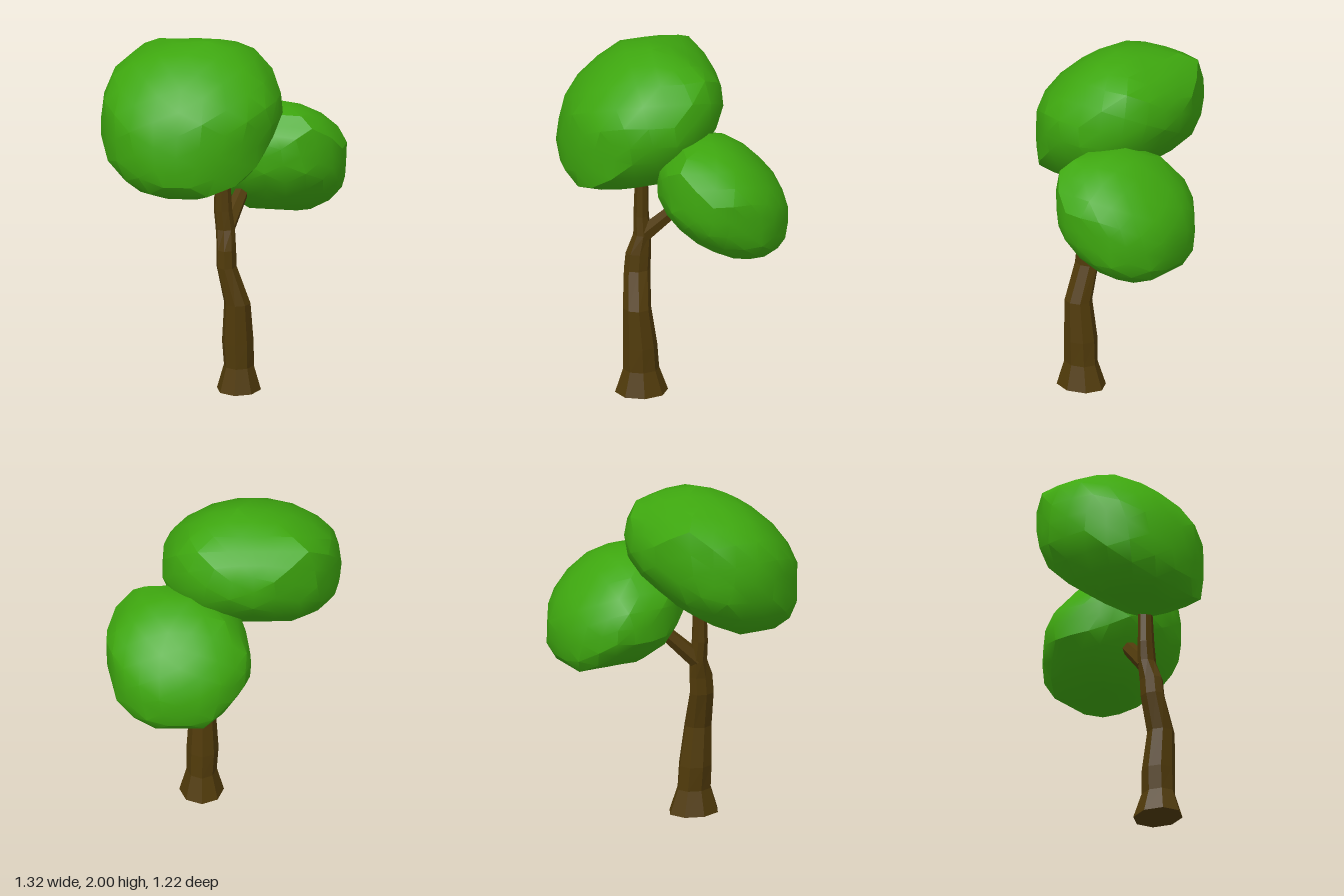
import * as THREE from 'three';
import { toCreasedNormals } from 'three/addons/utils/BufferGeometryUtils.js';

const leafMaterial = new THREE.MeshStandardMaterial({ color: 0x3ea70f });
const barkMaterial = new THREE.MeshStandardMaterial({ color: 0x503a0a, flatShading: true });

// Planes standing on the edges of a convex outline drawn in two of the three axes
function outlinePlanes(outline, axisA, axisB, centre) {
  return outline.map(([a0, b0], i) => {
    const [a1, b1] = outline[(i + 1) % outline.length];
    const normal = new THREE.Vector3()
      .setComponent(axisA, b1 - b0).setComponent(axisB, a0 - a1).normalize();
    const onEdge = centre.clone().setComponent(axisA, a0).setComponent(axisB, b0);
    const plane = new THREE.Plane().setFromNormalAndCoplanarPoint(normal, onEdge.sub(centre));
    return plane.constant > 0 ? plane.negate() : plane;
  });
}

// Leaning ellipsoid trimmed to its front, side and top outlines
function crown(name, min, max, swell, lean, { front, side, top }) {
  const box = new THREE.Box3(new THREE.Vector3(...min), new THREE.Vector3(...max));
  const centre = box.getCenter(new THREE.Vector3());
  const half = box.getSize(new THREE.Vector3()).multiplyScalar(0.5);
  const planes = [
    ...outlinePlanes(front, 0, 1, centre),
    ...outlinePlanes(side, 2, 1, centre),
    ...outlinePlanes(top, 0, 2, centre),
  ];
  const geo = new THREE.IcosahedronGeometry(swell, 3);
  const pos = geo.attributes.position;
  const v = new THREE.Vector3();
  for (let i = 0; i < pos.count; i++) {
    v.fromBufferAttribute(pos, i);
    v.z = lean * v.y + Math.sqrt(1 - lean * lean) * v.z;
    v.multiply(half);
    for (const { normal, constant } of planes) {
      const reach = normal.dot(v);
      if (reach > -constant) v.multiplyScalar(-constant / reach);
    }
    v.add(centre);
    pos.setXYZ(i, v.x, v.y, v.z);
  }
  const mesh = new THREE.Mesh(toCreasedNormals(geo, 0.5), leafMaterial);
  mesh.name = name;
  return mesh;
}

// Capped loft through elliptical rings given as [y, xMin, xMax, zMin, zMax]
function loft(name, rings, sides) {
  const points = [];
  const index = [];
  const addCentre = ([y, x0, x1, z0, z1]) =>
    points.push((x0 + x1) / 2, y, (z0 + z1) / 2);
  rings.forEach(([y, x0, x1, z0, z1], r) => {
    for (let s = 0; s < sides; s++) {
      const a = (s / sides) * Math.PI * 2;
      points.push(
        (x0 + x1) / 2 + Math.cos(a) * (x1 - x0) / 2, y,
        (z0 + z1) / 2 + Math.sin(a) * (z1 - z0) / 2);
      if (r === rings.length - 1) continue;
      const p = r * sides + s;
      const q = r * sides + (s + 1) % sides;
      index.push(p, p + sides, q, q, p + sides, q + sides);
    }
  });
  const bottom = rings.length * sides;
  const lastRing = bottom - sides;
  addCentre(rings[0]);
  addCentre(rings[rings.length - 1]);
  for (let s = 0; s < sides; s++) {
    const n = (s + 1) % sides;
    index.push(bottom, s, n, bottom + 1, lastRing + n, lastRing + s);
  }
  const geo = new THREE.BufferGeometry();
  geo.setAttribute('position', new THREE.Float32BufferAttribute(points, 3));
  geo.setIndex(index);
  geo.computeVertexNormals();
  const mesh = new THREE.Mesh(geo, barkMaterial);
  mesh.name = name;
  return mesh;
}

// Tapered straight limb between two points
function limb(name, from, to, r0, r1) {
  const dir = to.clone().sub(from);
  const mesh = new THREE.Mesh(new THREE.CylinderGeometry(r1, r0, dir.length(), 6), barkMaterial);
  mesh.position.copy(from).add(to).multiplyScalar(0.5);
  mesh.quaternion.setFromUnitVectors(new THREE.Vector3(0, 1, 0), dir.normalize());
  mesh.name = name;
  return mesh;
}

export function createModel() {
  const tree = new THREE.Group();
  tree.name = 'tree';

  // Crooked trunk with a flared foot
  tree.add(loft('trunk', [
    [0.00, 0.00, 0.25, 0.03, 0.33],
    [0.14, 0.04, 0.21, 0.08, 0.285],
    [0.28, 0.03, 0.21, 0.09, 0.285],
    [0.51, 0.045, 0.195, 0.125, 0.285],
    [0.72, 0.00, 0.115, 0.12, 0.27],
    [0.82, 0.00, 0.11, 0.115, 0.26],
    [0.93, -0.01, 0.1, 0.115, 0.215],
    [1.04, -0.02, 0.085, 0.125, 0.212],
    [1.35, -0.01, 0.065, 0.13, 0.20],
  ], 8));

  // Side branch reaching back into the lower crown
  tree.add(limb('branch', new THREE.Vector3(0.045, 0.92, 0.16),
    new THREE.Vector3(0.145, 1.2, -0.12), 0.052, 0.034));

  // Main crown: outlines as [x, y], [z, y] and [x, z]
  tree.add(crown('upperCrown', [-0.66, 1.16, -0.32], [0.34, 2.0, 0.61], 1.06, -0.37, {
    front: [[-0.665, 1.63], [-0.6, 1.81], [-0.46, 1.915], [-0.27, 1.975], [-0.02, 2.005],
      [0.18, 1.915], [0.3, 1.765], [0.345, 1.68], [0.345, 1.55], [0.27, 1.38], [0.16, 1.25],
      [-0.13, 1.155], [-0.28, 1.155], [-0.43, 1.21], [-0.56, 1.305], [-0.635, 1.4]],
    side: [[0.615, 1.4], [0.545, 1.68], [0.355, 1.9], [0.26, 1.975], [0.09, 2.005],
      [-0.04, 1.975], [-0.17, 1.915], [-0.275, 1.82], [-0.315, 1.71], [-0.295, 1.58],
      [-0.18, 1.44], [-0.04, 1.31], [0.14, 1.2], [0.36, 1.155], [0.5, 1.185], [0.595, 1.29]],
    top: [[-0.665, 0.04], [-0.52, -0.18], [-0.25, -0.305], [0, -0.325], [0.13, -0.265],
      [0.24, -0.18], [0.345, 0.01], [0.345, 0.25], [0.2, 0.45], [0.01, 0.565],
      [-0.26, 0.615], [-0.51, 0.5], [-0.6, 0.355], [-0.655, 0.25]],
  }));

  // Smaller crown behind
  tree.add(crown('lowerCrown', [-0.15, 0.9, -0.61], [0.66, 1.58, 0.12], 1.08, 0.4, {
    front: [[0.34, 1.585], [0.51, 1.525], [0.605, 1.43], [0.665, 1.33], [0.655, 1.1],
      [0.595, 1.01], [0.5, 0.935], [0.39, 0.895], [0.26, 0.895], [0.1, 0.95], [-0.02, 1.02],
      [-0.14, 1.14], [-0.155, 1.22], [-0.12, 1.36], [0, 1.5], [0.16, 1.58]],
    side: [[0.11, 1.23], [0.1, 1.42], [-0.03, 1.555], [-0.25, 1.59], [-0.32, 1.565],
      [-0.4, 1.485], [-0.545, 1.34], [-0.615, 1.21], [-0.615, 1.01], [-0.535, 0.925],
      [-0.4, 0.895], [-0.26, 0.925], [-0.07, 0.975], [0, 1.07]],
    top: [[0.17, -0.615], [0.4, -0.615], [0.59, -0.485], [0.665, -0.27], [0.655, -0.1],
      [0.5, 0.06], [0.34, 0.1], [0.2, 0.11], [0.02, 0.06], [-0.1, -0.08],
      [-0.155, -0.29], [-0.14, -0.41], [0.03, -0.575]],
  }));

  return tree;
}
